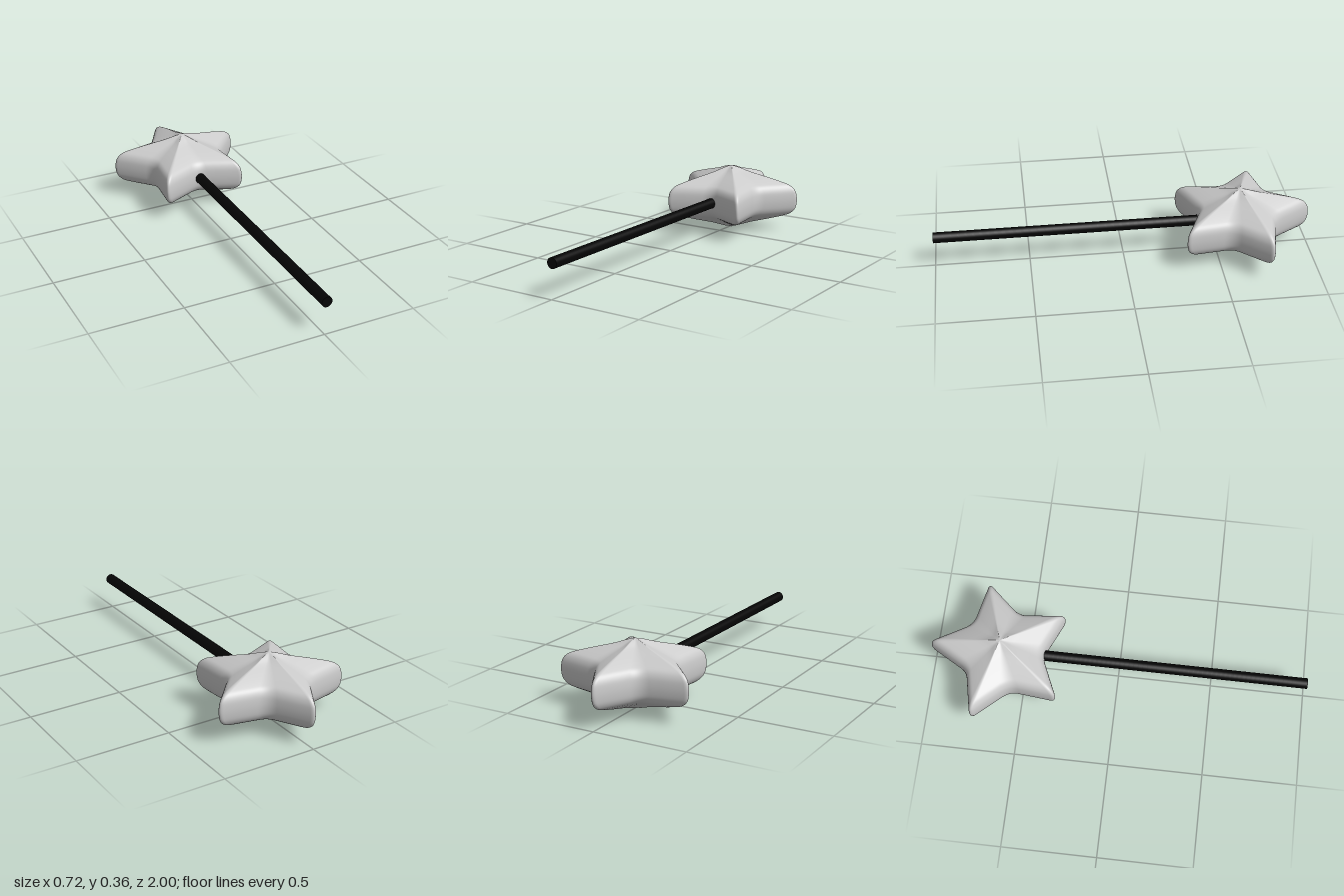
import * as THREE from 'three';

const CENTRE_Y = 0.18;
const STAR_Z = -0.62;

// Five-pointed outline with softened tips and notches, running clockwise from -z
function starOutline(tipRadius, notchRadius, tipRound, notchRound) {
  const corners = [];
  for (let i = 0; i < 10; i++) {
    const a = (i * Math.PI) / 5;
    const r = i % 2 ? notchRadius : tipRadius;
    corners.push(new THREE.Vector2(r * Math.sin(a), -r * Math.cos(a)));
  }
  const outline = [];
  corners.forEach((corner, i) => {
    const toward = (other, d) =>
      corner.clone().add(other.clone().sub(corner).setLength(d));
    const round = i % 2 ? notchRound : tipRound;
    const before = toward(corners[(i + 9) % 10], round);
    const after = toward(corners[(i + 1) % 10], round);
    const bend = new THREE.QuadraticBezierCurve(before, corner, after);
    outline.push(...bend.getPoints(8));
    // extra points along the straight edge
    const end = corners[(i + 1) % 10].clone();
    for (const t of [0.4, 0.6]) outline.push(corner.clone().lerp(end, t));
  });
  return outline;
}

// Puffed star: the outline scaled by a profile of (scale, height)
function starGeometry() {
  const outline = starOutline(0.393, 0.215, 0.03, 0.05);
  const half = [
    [0, 0.178], [0.06, 0.175], [0.14, 0.166], [0.28, 0.148], [0.55, 0.121],
    [0.8, 0.094], [0.89, 0.081], [0.95, 0.063], [0.985, 0.04], [1, 0],
  ];
  const lower = half.slice(0, -1).reverse().map(([s, h]) => [s, -h]);
  const curve = new THREE.CatmullRomCurve3(
    [...half, ...lower].map(([s, h]) => new THREE.Vector3(s, h, 0)), false, 'centripetal');
  const profile = curve.getPoints(54);
  const n = outline.length;
  const positions = [];
  const index = [];
  profile.forEach((p, i) => {
    for (const o of outline) positions.push(o.x * p.x, p.y, o.y * p.x);
    if (i === profile.length - 1) return;
    for (let j = 0; j < n; j++) {
      const k = (j + 1) % n;
      const a = i * n + j, b = i * n + k, c = a + n, d = b + n;
      if (i < profile.length - 2) index.push(a, d, c);
      if (i > 0) index.push(a, b, d);
      if (i === profile.length - 2) index.push(a, d, c);
    }
  });
  const geometry = new THREE.BufferGeometry();
  geometry.setAttribute('position', new THREE.Float32BufferAttribute(positions, 3));
  geometry.setIndex(index);
  geometry.computeVertexNormals();
  // smooth poles
  const normal = geometry.attributes.normal;
  for (let j = 0; j < n; j++) {
    normal.setXYZ(j, 0, 1, 0);
    normal.setXYZ(normal.count - 1 - j, 0, -1, 0);
  }
  return geometry;
}

export function createModel() {
  const group = new THREE.Group();
  group.name = 'starWand';

  const star = new THREE.Mesh(
    starGeometry(), new THREE.MeshStandardMaterial({ color: 0xcccccc }));
  star.name = 'star';
  star.position.set(0, CENTRE_Y, STAR_Z);
  group.add(star);

  // Handle runs from the front into the notch of the star
  const front = 1, back = -0.5;
  const handle = new THREE.Mesh(
    new THREE.CylinderGeometry(0.028, 0.028, front - back, 32),
    new THREE.MeshStandardMaterial({ color: 0x050505 }));
  handle.name = 'handle';
  handle.rotation.x = Math.PI / 2;
  handle.position.set(0.007, CENTRE_Y + 0.002, (front + back) / 2);
  group.add(handle);

  return group;
}
